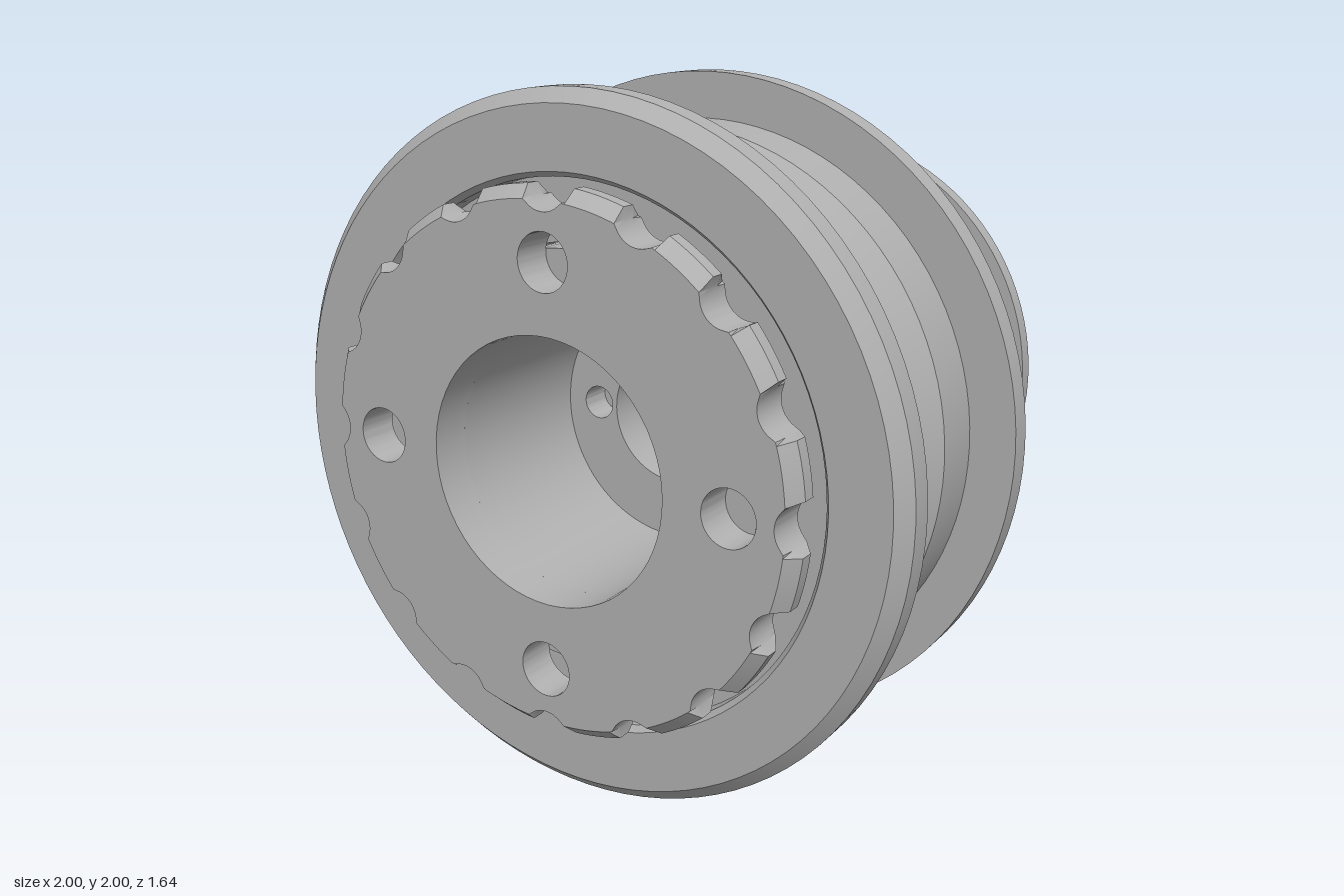
import * as THREE from 'three';
import { toCreasedNormals } from 'three/addons/utils/BufferGeometryUtils.js';

const steel = new THREE.MeshStandardMaterial({ color: 0xb0b0b0 });
steel.name = 'steel grey';

const CREASE = 0.4;
const TWIST = -0.026; // slight rotation of the nut and pin holes

function part(name, geometry) {
  const mesh = new THREE.Mesh(toCreasedNormals(geometry, CREASE), steel);
  mesh.name = name;
  return mesh;
}

// Turned part around z: closed profile of [radius, z], outer side back to front
function turned(name, profile) {
  const points = [...profile, profile[0]].map(([r, z]) => new THREE.Vector2(r, z));
  return part(name, new THREE.LatheGeometry(points, 96).rotateX(Math.PI / 2));
}

function circleHole(shape, x, y, r) {
  shape.holes.push(new THREE.Path().absarc(x, y, r, 0, Math.PI * 2, true));
}

// Ring nut: scalloped rim, chamfered front and back, four pin holes
function ringNut() {
  const rim = 0.765, chamferRim = 0.73, centre = 0.775, cutter = 0.075;
  const half = Math.acos((rim ** 2 + centre ** 2 - cutter ** 2) / (2 * rim * centre));
  const pitch = Math.PI / 8;
  const points = [];
  const add = (r, a) => points.push(new THREE.Vector2(r * Math.cos(a), r * Math.sin(a)));
  for (let i = 0; i < 16; i++) {
    const mid = i * pitch + TWIST;
    for (let k = 0; k <= 14; k++) {
      const d = half * (k / 7 - 1);
      const root = Math.sqrt(Math.max(0, cutter ** 2 - (centre * Math.sin(d)) ** 2));
      add(Math.min(rim, centre * Math.cos(d) - root), mid + d);
    }
    for (let k = 1; k < 6; k++) add(rim, mid + half + (pitch - 2 * half) * k / 6);
  }
  const shape = new THREE.Shape(points);
  circleHole(shape, 0, 0, 0.375);
  for (let i = 0; i < 4; i++) {
    const a = i * Math.PI / 2 + TWIST;
    circleHole(shape, 0.57 * Math.cos(a), 0.57 * Math.sin(a), 0.08);
  }
  const geometry = new THREE.ExtrudeGeometry(shape, {
    depth: 0.12, steps: 3, bevelEnabled: false, curveSegments: 32,
  });
  // Pull in the end layers to form the chamfers
  const pos = geometry.attributes.position;
  for (let i = 0; i < pos.count; i++) {
    const x = pos.getX(i), y = pos.getY(i), z = pos.getZ(i), r = Math.hypot(x, y);
    if ((z < 0.01 || z > 0.11) && r > chamferRim) {
      pos.setXY(i, x * chamferRim / r, y * chamferRim / r);
    }
  }
  return part('ringNut', geometry.translate(0, 0, 0.7));
}

// Plate deep in the front bore, with two small blind holes
function webPlate() {
  const shape = new THREE.Shape().absarc(0, 0, 0.375, 0, Math.PI * 2, false);
  circleHole(shape, 0, 0, 0.2);
  for (const s of [-1, 1]) {
    circleHole(shape, s * 0.265 * Math.cos(TWIST), s * 0.265 * Math.sin(TWIST), 0.05);
  }
  const geometry = new THREE.ExtrudeGeometry(shape, {
    depth: 0.1, bevelEnabled: false, curveSegments: 48,
  });
  return part('webPlate', geometry.translate(0, 0, 0.1));
}

export function createModel() {
  const model = new THREE.Group();
  model.name = 'wheelHub';

  // Double-flanged hub with the recess between its wheel seats
  model.add(turned('flangedHub', [
    [0.59, -0.06], [0.74, -0.06], [0.74, -0.115], [0.96, -0.115], [1, -0.075], [1, 0],
    [0.865, 0], [0.865, 0.175], [0.79, 0.25], [0.635, 0.25],
    [0.635, 0.335], [0.79, 0.335], [0.865, 0.41], [0.865, 0.59],
    [1, 0.59], [1, 0.66], [0.96, 0.7], [0.785, 0.7], [0.77, 0.68],
    [0.77, 0.62], [0.59, 0.62],
  ]));

  // Hollow shaft with end collar, stepped bore and inner web
  model.add(turned('hollowShaft', [
    [0.51, -0.82], [0.71, -0.82], [0.745, -0.785], [0.745, -0.73], [0.605, -0.73],
    [0.605, -0.69], [0.63, -0.69], [0.63, -0.165], [0.61, -0.14], [0.585, -0.14],
    [0.585, 0.7], [0.375, 0.7], [0.375, 0.1], [0.2, 0.1], [0.2, -0.195],
    [0.42, -0.195], [0.51, -0.255],
  ]));

  // Ring between hub and shaft
  model.add(turned('spacerRing', [
    [0.66, -0.14], [0.705, -0.14], [0.705, -0.05], [0.66, -0.05],
  ].map(([r, z]) => [r, z])));

  model.add(ringNut(), webPlate());

  // Lift the axis so the flanges stand on the ground
  for (const mesh of model.children) mesh.position.y = 1;
  return model;
}
